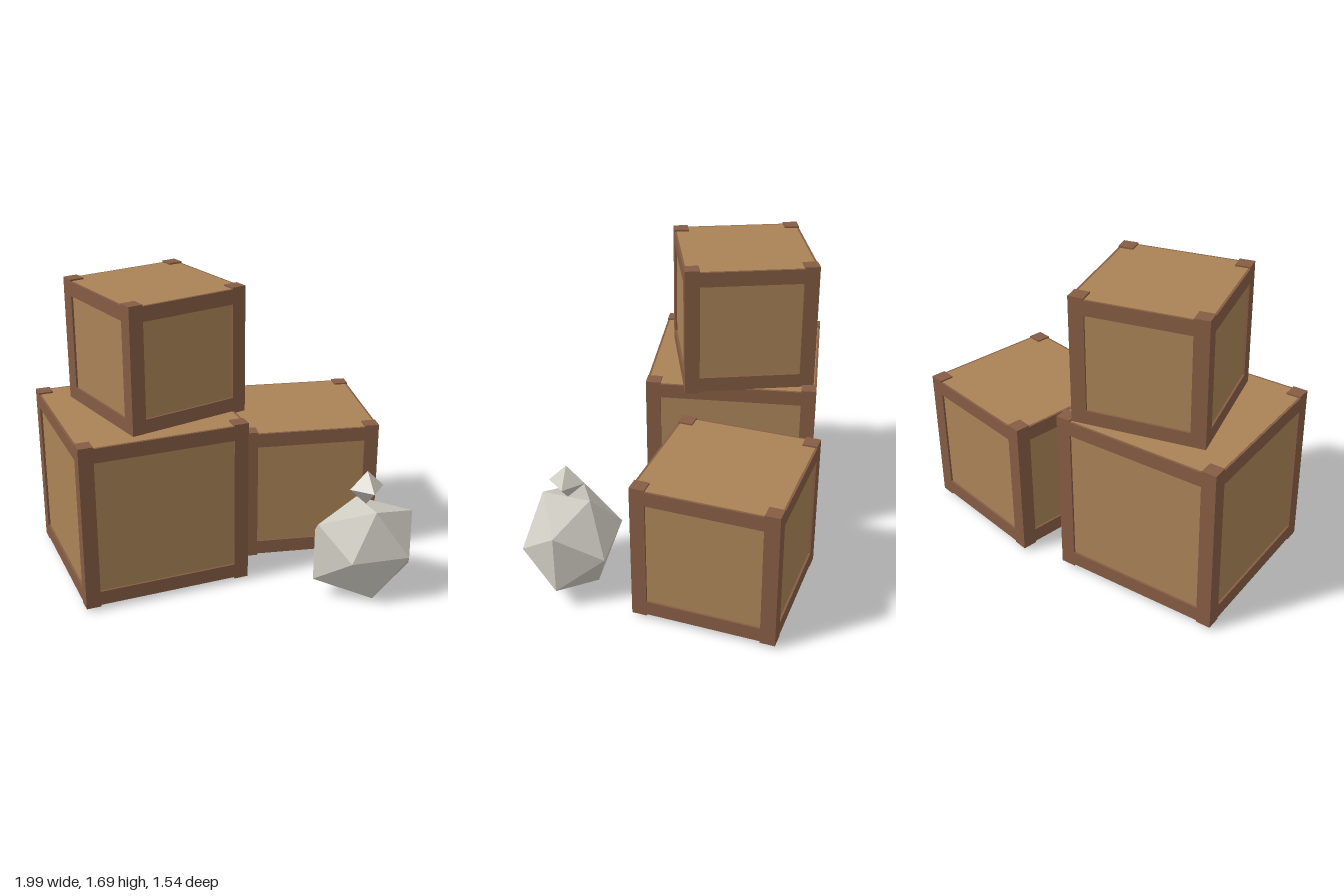
import * as THREE from 'three';
import { ConvexGeometry } from 'three/addons/geometries/ConvexGeometry.js';

const POST = 0.083;   // width of posts and rails
const LIP = 0.01;     // how far posts stick out above and below the rails
const INSET = 0.012;  // depth of the panels behind the frame

export function createModel() {
  const model = new THREE.Group();
  const panelWood = new THREE.MeshStandardMaterial({ color: 0xaa8357 });
  panelWood.name = 'panelWood';
  const frameWood = new THREE.MeshStandardMaterial({ color: 0x855c43 });
  frameWood.name = 'frameWood';
  const stone = new THREE.MeshStandardMaterial({ color: 0xcfccc2, flatShading: true });
  stone.name = 'stone';

  const box = (parent, name, material, size, pos) => {
    const mesh = new THREE.Mesh(new THREE.BoxGeometry(...size), material);
    mesh.name = name;
    mesh.position.set(...pos);
    parent.add(mesh);
  };

  // Crate: plank body, four corner posts and a ring of rails at top and bottom
  function crate(name, size, x, y, z, turn, bottomGap) {
    const g = new THREE.Group();
    g.name = name;
    g.position.set(x, y, z);
    g.rotation.y = turn;
    const low = LIP + bottomGap, high = size - LIP + 0.001;
    const wide = size - 2 * INSET;
    box(g, 'crateBody', panelWood, [wide, high - low, wide], [0, (low + high) / 2, 0]);
    const c = (size - POST) / 2;
    for (const sx of [-1, 1])
      for (const sz of [-1, 1])
        box(g, 'cornerPost', frameWood, [POST, size, POST], [sx * c, size / 2, sz * c]);
    const span = size - 2 * POST;
    for (const ry of [LIP + POST / 2, size - LIP - POST / 2])
      for (const s of [-1, 1]) {
        box(g, 'railX', frameWood, [span, POST, POST], [0, ry, s * c]);
        box(g, 'railZ', frameWood, [POST, POST, span], [s * c, ry, 0]);
      }
    model.add(g);
  }
  crate('largeCrate', 0.962, -0.485, 0.02, -0.2, 0.07, 0.006);
  crate('mediumCrate', 0.8, 0.535, 0.02, -0.315, -0.152, -0.001);
  crate('topCrate', 0.729, -0.368, 0.96, -0.236, 0.29, -0.001);

  // Boulder: a slightly uneven twenty-sided stone
  const corners = [
    [0.61, 0.557, 0.695], [0.61, 0.533, 0.43], [0.61, 0.022, 0.697], [0.61, 0, 0.4],
    [0.33, 0.46, 0.55], [0.9, 0.46, 0.555], [0.31, 0.12, 0.55], [0.9, 0.122, 0.555],
    [0.455, 0.29, 0.747], [0.785, 0.29, 0.77], [0.418, 0.29, 0.305], [0.803, 0.29, 0.305],
  ].map((p) => new THREE.Vector3(...p));
  const boulder = new THREE.Mesh(new ConvexGeometry(corners), stone);
  boulder.name = 'boulder';
  model.add(boulder);

  // Small eight-sided stone above the boulder
  const pebble = new THREE.Mesh(new THREE.OctahedronGeometry(0.1), stone);
  pebble.name = 'pebble';
  pebble.position.set(0.612, 0.645, 0.552);
  model.add(pebble);

  return model;
}
